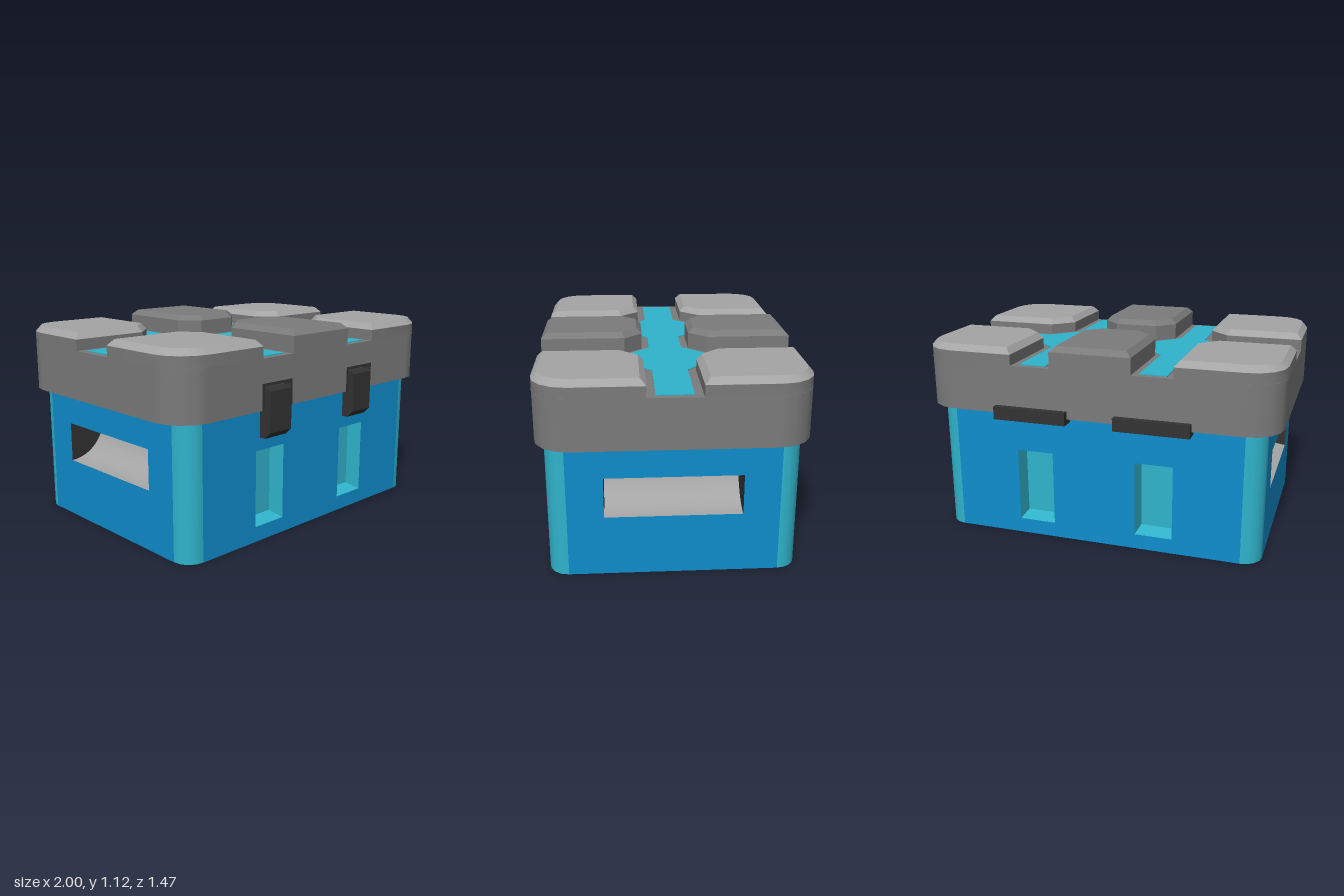
import * as THREE from 'three';
import { toCreasedNormals } from 'three/addons/utils/BufferGeometryUtils.js';

const material = (name, color, side = THREE.FrontSide) => {
  const m = new THREE.MeshStandardMaterial({ color, side });
  m.name = name;
  return m;
};

export function createModel() {
  const blue = material('blue', 0x0f8ecd);
  const cyan = material('cyan', 0x30b4cc);
  const grey = material('grey', 0x7b7b7b);
  const lightGrey = material('lightGrey', 0xa5a5a5);
  const dark = material('darkGrey', 0x333333);

  const model = new THREE.Group();
  model.name = 'storageCase';
  const add = (parent, name, geometry, mat, x = 0, y = 0, z = 0) => {
    const mesh = new THREE.Mesh(geometry, mat);
    mesh.name = name;
    mesh.position.set(x, y, z);
    parent.add(mesh);
    return mesh;
  };
  const polygon = (pts) => new THREE.Shape(pts.map(([x, y]) => new THREE.Vector2(x, y)));
  const rectangle = (x0, x1, y0, y1) => polygon([[x0, y0], [x1, y0], [x1, y1], [x0, y1]]);

  const roundedRect = (w, d, r) => {
    const s = new THREE.Shape();
    s.absarc(w - r, d - r, r, 0, Math.PI / 2);
    s.absarc(r - w, d - r, r, Math.PI / 2, Math.PI);
    s.absarc(r - w, r - d, r, Math.PI, Math.PI * 1.5);
    s.absarc(w - r, r - d, r, Math.PI * 1.5, Math.PI * 2);
    return s;
  };

  // Four walls with optional openings, joined by rounded corners
  const shell = (name, w, d, r, y0, y1, wallMat, cornerMat, openings) => {
    const group = new THREE.Group();
    group.name = name;
    model.add(group);
    for (let k = 0; k < 4; k++) {
      const [half, out] = k % 2 ? [d - r, w] : [w - r, d];
      const wall = rectangle(-half, half, y0, y1);
      wall.holes = (openings[k] || []).map((o) => rectangle(...o));
      const side = new THREE.Group();
      side.name = name + 'Side';
      side.rotation.y = k * Math.PI / 2;
      group.add(side);
      add(side, name + 'Wall', new THREE.ShapeGeometry(wall), wallMat, 0, 0, out);
      const sx = k < 2 ? 1 : -1, sz = k === 0 || k === 3 ? 1 : -1;
      add(group, name + 'Corner',
        new THREE.CylinderGeometry(r, r, y1 - y0, 4, 1, true, k * Math.PI / 2, Math.PI / 2),
        cornerMat, sx * (w - r), (y0 + y1) / 2, sz * (d - r));
    }
    return group;
  };

  // Body
  const W = 0.925, D = 0.657, R = 0.105;
  const windows = [-0.345, 0.34].map((x) => [x - 0.105, x + 0.105, 0.085, 0.505]);
  const grip = [-0.36, 0.36, 0.33, 0.55];
  const body = shell('body', W, D, R, 0, 0.95, blue, cyan, [windows, [grip], windows, [grip]]);
  add(body, 'bodyBottom', new THREE.ShapeGeometry(roundedRect(W, D, R), 4).rotateX(Math.PI / 2), blue);

  // Window recesses: inward-facing open boxes narrowing towards the back
  const recess = () => {
    const g = new THREE.BoxGeometry(0.21, 0.42, 0.09).translate(0, 0, -0.045);
    const p = g.attributes.position;
    for (let i = 0; i < p.count; i++) {
      if (p.getZ(i) < -0.01) p.setXY(i, p.getX(i) * 0.89, p.getY(i) * 0.9);
    }
    const index = Array.from(g.index.array);
    index.splice(24, 6);
    g.setIndex(index.reverse());
    g.clearGroups();
    g.computeVertexNormals();
    return g;
  };
  for (const turn of [0, Math.PI]) {
    const side = new THREE.Group();
    side.name = 'windowRecesses';
    side.rotation.y = turn;
    body.add(side);
    for (const x of [-0.345, 0.34]) add(side, 'windowRecess', recess(), cyan, x, 0.295, D);
  }

  // Side grips: curved scoops with dark ceilings and ends
  for (const turn of [1, -1]) {
    const side = new THREE.Group();
    side.name = 'sideGrip';
    side.rotation.y = turn * Math.PI / 2;
    body.add(side);
    const r = 0.22, len = 0.72, top = 0.55;
    const scoop = new THREE.PlaneGeometry(len, 1, 1, 12);
    const p = scoop.attributes.position;
    for (let i = 0; i < p.count; i++) {
      const a = (p.getY(i) + 0.5) * Math.PI / 2;
      p.setY(i, -r * Math.cos(a));
      p.setZ(i, -r * Math.sin(a));
    }
    scoop.computeVertexNormals();
    add(side, 'gripScoop', scoop, lightGrey, 0, top, W);
    add(side, 'gripCeiling', new THREE.PlaneGeometry(len, r).rotateX(Math.PI / 2), dark, 0, top, W - r / 2);
    add(side, 'gripEnd', new THREE.CircleGeometry(r, 12, Math.PI * 1.5, Math.PI / 2).rotateY(Math.PI / 2),
      dark, -len / 2, top, W);
    add(side, 'gripEnd', new THREE.CircleGeometry(r, 12, Math.PI, Math.PI / 2).rotateY(-Math.PI / 2),
      dark, len / 2, top, W);
  }

  // Lid
  const LW = 1, LD = 0.705, LR = 0.19, LY = 0.73, FLOOR = 1.0;
  const latchX = [-0.343, 0.338];
  const notches = latchX.map((x) => [x - 0.112, x + 0.112, LY + 0.001, 0.87]);
  const lid = shell('lid', LW, LD, LR, LY, FLOOR, grey, grey, [notches]);
  add(lid, 'lidTop', new THREE.ShapeGeometry(roundedRect(LW, LD, LR), 4).rotateX(-Math.PI / 2), grey, 0, FLOOR);
  const rim = roundedRect(LW, LD, LR);
  rim.holes.push(roundedRect(W - 0.005, D - 0.005, R));
  add(lid, 'lidUnderside', new THREE.ShapeGeometry(rim, 4).rotateX(Math.PI / 2), dark, 0, LY);

  // Horizontal slab from a plan outline, optionally chamfered inside that outline
  const slab = (shape, height, bevel = 0, rise = 0) => toCreasedNormals(
    new THREE.ExtrudeGeometry(shape, {
      depth: height, curveSegments: 4, bevelEnabled: bevel > 0, bevelSegments: 1,
      bevelSize: bevel, bevelOffset: -bevel, bevelThickness: rise,
    }).rotateX(-Math.PI / 2), 0.5);

  // Coloured channel inlay on the lid
  const quarter = [[0.965, 0.095], [0.565, 0.095], [0.41, 0.235], [0.41, 0.67], [0.26, 0.67], [0.26, 0.235], [0.12, 0.095]];
  const half = [...quarter, ...quarter.map(([x, z]) => [-x, z]).reverse()];
  const cross = [...half, ...half.map(([x, z]) => [x, -z]).reverse()];
  add(lid, 'channelInlay', slab(polygon(cross), 0.005), cyan, 0, FLOOR);

  // Raised blocks, mirrored front to back and left to right
  const arc = [0, 1, 2, 3, 4].map((i) => {
    const a = i * Math.PI / 8;
    return [LW - LR + LR * Math.cos(a), LD - LR + LR * Math.sin(a)];
  });
  const cornerOutline = [[0.45, 0.255], [0.565, 0.14], [LW, 0.14], ...arc, [0.45, LD]];
  const middleOutline = [[0.225, LD], [-0.225, LD], [-0.225, 0.235], [-0.125, 0.135], [0.125, 0.135], [0.225, 0.235]];
  const block = (name, outline, sx, sz, edge, rise, capMat) => {
    const shape = polygon(outline.map(([x, z]) => [x * sx, -z * sz]));
    add(lid, name, slab(shape, edge - FLOOR), grey, 0, FLOOR);
    add(lid, name + 'Cap', slab(shape, 0.001, 0.03, rise), capMat, 0, edge);
  };
  for (const sz of [1, -1]) {
    block('middleBlock', middleOutline, 1, sz, 1.09, 0.03, grey);
    for (const sx of [1, -1]) block('cornerBlock', cornerOutline, sx, sz, 1.06, 0.033, lightGrey);
  }

  // Front latches in dark-framed notches
  const profile = polygon([[0.655, 0.575], [0.695, 0.575], [0.73, 0.61], [0.73, 0.83], [0.72, 0.84], [0.655, 0.84]]);
  const latchGeometry = new THREE.ExtrudeGeometry(profile, { depth: 0.16, bevelEnabled: false })
    .rotateY(-Math.PI / 2).translate(0.08, 0, 0);
  for (const x of latchX) {
    add(model, 'latch', latchGeometry, dark, x);
    add(model, 'latchFrameTop', new THREE.BoxGeometry(0.224, 0.015, 0.051), dark, x, 0.8625, 0.681);
    for (const s of [-1, 1]) {
      add(model, 'latchFrameSide', new THREE.BoxGeometry(0.015, 0.14, 0.051), dark, x + s * 0.1045, 0.8, 0.681);
    }
    // Rear hinge
    add(model, 'hinge', new THREE.BoxGeometry(0.415, 0.072, 0.085), dark, x, 0.738, -0.6975);
  }

  model.position.z = 0.005;
  const root = new THREE.Group();
  root.name = 'model';
  root.add(model);
  return root;
}
